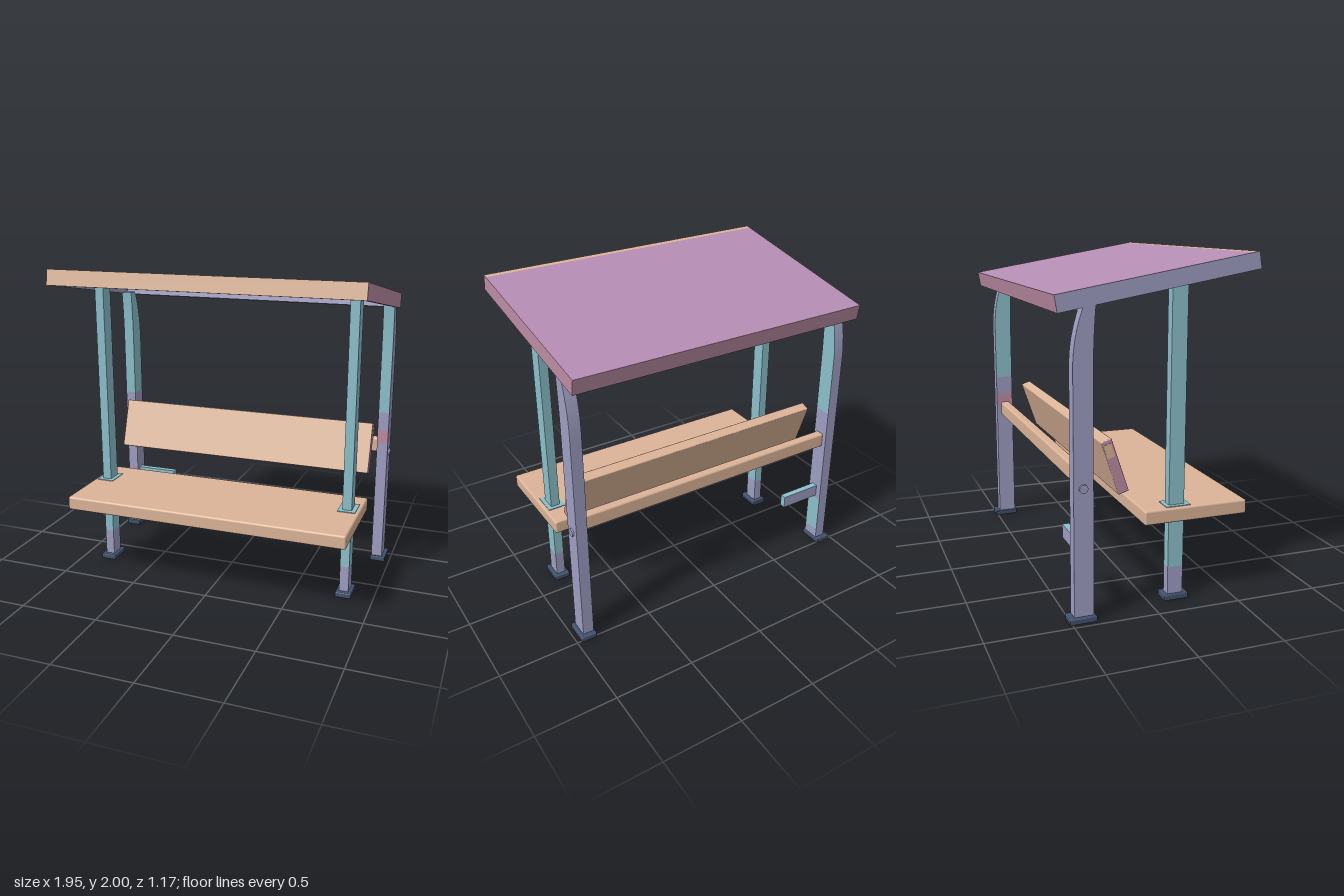
import * as THREE from 'three';
import { RoundedBoxGeometry } from 'three/addons/geometries/RoundedBoxGeometry.js';

const material = (name, color) => {
  const m = new THREE.MeshStandardMaterial({ color });
  m.name = name;
  return m;
};

export function createModel() {
  const tan = material('tan', 0xdcb498);
  const teal = material('teal', 0x8cc0cc);
  const lavender = material('lavender', 0x9e9ec2);
  const pink = material('pink', 0xbc8ca4);
  const mauve = material('mauve', 0xb68eb4);
  const navy = material('navy', 0x42526e);

  const model = new THREE.Group();
  model.name = 'shelteredBench';

  const add = (parent, name, geometry, mat) => {
    const mesh = new THREE.Mesh(geometry, mat);
    mesh.name = name;
    parent.add(mesh);
    return mesh;
  };

  // Box given by its minimum and maximum corners; a radius softens its edges
  const box = (parent, name, [x0, y0, z0], [x1, y1, z1], mat, radius = 0) => {
    const size = [x1 - x0, y1 - y0, z1 - z0];
    const geometry = radius
      ? new RoundedBoxGeometry(...size, 2, radius)
      : new THREE.BoxGeometry(...size);
    geometry.translate((x0 + x1) / 2, (y0 + y1) / 2, (z0 + z1) / 2);
    return add(parent, name, geometry, mat);
  };

  // Tilted roof: an open tray with its hollow side down, y = 0 on its top
  const roof = new THREE.Group();
  roof.name = 'roof';
  roof.position.set(0, 1.9, -0.003);
  roof.rotation.x = -0.171;
  model.add(roof);
  const W = 0.955, D = 0.587, H = 0.095, panel = 0.015, wall = 0.02;
  const backRim = -D + 0.16;
  box(roof, 'roofPanel', [-W, -panel, -D], [W, 0, D - 0.03],
    [pink, lavender, mauve, mauve, tan, pink]);
  box(roof, 'roofFrontRim', [-W, -H, D - 0.03], [W, 0, D],
    [pink, lavender, tan, tan, tan, tan]);
  box(roof, 'roofBackRim', [-W, -H, -D], [W, -panel, backRim],
    [pink, lavender, pink, pink, lavender, pink]);
  box(roof, 'roofLeftRim', [W - wall, -H, backRim], [W, -panel, D - 0.03], pink);
  box(roof, 'roofRightRim', [-W, -H, backRim], [-W + wall, -panel, D - 0.03], lavender);
  box(roof, 'ceilingStripe', [-W + wall, -panel - 0.006, -0.19], [W - wall, -panel, -0.14], teal);

  // Rear posts lean forward and taper towards the roof
  const bend = (geometry) => {
    const p = geometry.attributes.position;
    for (let i = 0; i < p.count; i++) {
      const t = Math.max(0, (p.getY(i) - 1.42) / 0.32);
      p.setZ(i, p.getZ(i) + (p.getZ(i) < -0.43 ? 0.06 : 0.014) * t * t);
    }
    geometry.computeVertexNormals();
    return geometry;
  };

  // Bands up each rear post: top height and colour of the front and inner faces
  const bands = {
    '1': [[0.84, lavender], [0.93, pink], [1.05, lavender], [1.75, teal]],
    '-1': [[0.1, lavender], [0.35, teal], [1.03, lavender], [1.75, teal]],
  };

  for (const s of [1, -1]) {
    const side = s > 0 ? 'left' : 'right';

    // Rear post
    const post = new THREE.Group();
    post.name = side + 'RearPost';
    model.add(post);
    let y = 0.03;
    for (const [top, face] of bands[s]) {
      const geometry = new THREE.BoxGeometry(0.07, top - y, 0.113, 1, 12, 1);
      geometry.translate(s * 0.915, (top + y) / 2, -0.4285);
      add(post, side + 'RearPostBand', bend(geometry), [
        s > 0 ? lavender : face, s > 0 ? face : lavender,
        lavender, lavender, face, lavender]);
      y = top;
    }

    // Front post with a differently coloured base
    const x = s * 0.817;
    box(model, side + 'FrontPostBase', [x - 0.029, 0.03, 0.116], [x + 0.029, 0.2, 0.21], lavender);
    box(model, side + 'FrontPost', [x - 0.029, 0.2, 0.116], [x + 0.029, 1.9, 0.21], teal);

    // Collar on the seat around the front post
    box(model, side + 'SeatCollar', [x - 0.055, 0.572, 0.09], [x + 0.055, 0.579, 0.24], teal);

    // Foot plates
    box(model, side + 'FrontFoot', [x - 0.05, 0, 0.09], [x + 0.05, 0.034, 0.24], navy, 0.006);
    const rx = s * 0.923;
    box(model, side + 'RearFoot', [rx - 0.05, 0, -0.515], [rx + 0.05, 0.034, -0.358], navy, 0.006);

    // Bolt head on the outside of the rear post
    const bolt = new THREE.CylinderGeometry(0.025, 0.025, 0.016, 12);
    bolt.rotateZ(Math.PI / 2);
    add(model, side + 'Bolt', bolt, lavender).position.set(s * 0.953, 0.77, -0.43);
  }

  // Seat
  box(model, 'seat', [-0.895, 0.49, -0.05], [0.895, 0.575, 0.588], tan, 0.012);

  // Reclined backrest with coloured ends
  const backrest = new THREE.Group();
  backrest.name = 'backrest';
  backrest.position.set(0, 0.846, -0.22);
  backrest.rotation.x = -0.327;
  model.add(backrest);
  box(backrest, 'backrestBoard', [-0.87, -0.162, -0.032], [0.87, 0.162, 0.032],
    [pink, pink, tan, pink, tan, tan], 0.006);
  for (const s of [1, -1]) {
    box(backrest, 'backrestEndPatch', [s * 0.87 - 0.002, 0.06, -0.028],
      [s * 0.87 + 0.002, 0.14, 0.02], tan);
  }

  // Rail between the rear posts
  box(model, 'rearRail', [-0.885, 0.77, -0.455], [0.885, 0.865, -0.395], tan, 0.012);

  // Short bracket on the right rear post
  box(model, 'sideBracket', [-0.89, 0.37, -0.445], [-0.602, 0.45, -0.405],
    [teal, teal, teal, teal, teal, lavender]);

  return model;
}
